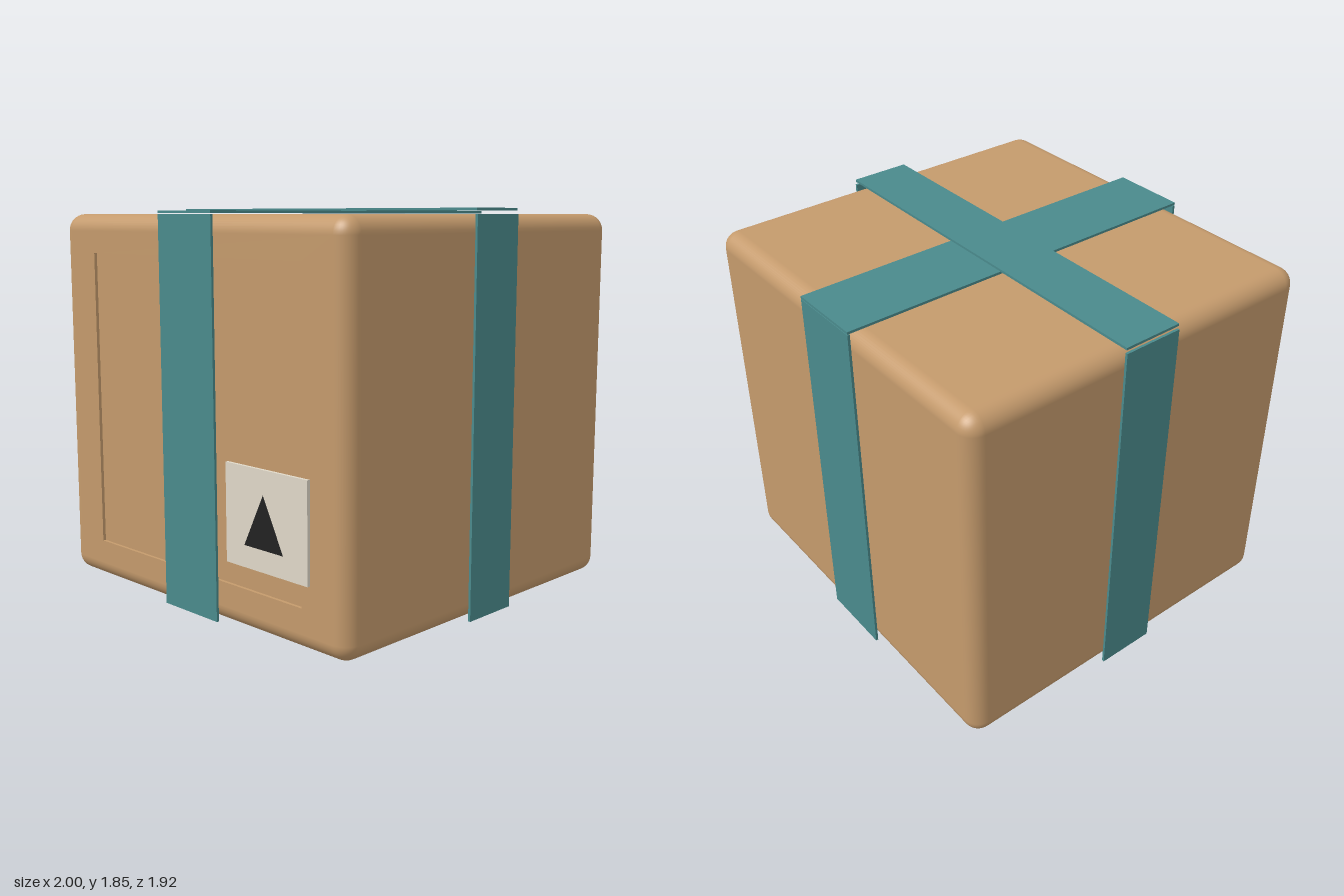
import * as THREE from 'three';
import { RoundedBoxGeometry } from 'three/addons/geometries/RoundedBoxGeometry.js';

const W = 1.966, H = 1.82, D = 1.867, R = 0.08;
const CZ = -0.0105;          // the label stands proud, so the box sits slightly back
const RECESS = 0.015;

const cardboard = new THREE.MeshStandardMaterial({ color: 0xc49a6c });
const teal = new THREE.MeshStandardMaterial({ color: 0x4a8a8c });
const paper = new THREE.MeshStandardMaterial({ color: 0xe0d8c8 });
const ink = new THREE.MeshStandardMaterial({ color: 0x222222, side: THREE.DoubleSide });

function rect(path, x0, y0, x1, y1) {
  path.moveTo(x0, y0);
  path.lineTo(x1, y0);
  path.lineTo(x1, y1);
  path.lineTo(x0, y1);
  path.closePath();
  return path;
}

export function createModel() {
  const model = new THREE.Group();
  model.name = 'parcel';

  function add(name, geometry, material, x, y, z, parent = model) {
    const mesh = new THREE.Mesh(geometry, material);
    mesh.name = name;
    mesh.position.set(x, y, z);
    parent.add(mesh);
    return mesh;
  }

  // Rounded carton: its flat front face is pushed in to form the recess floor
  const carton = new RoundedBoxGeometry(W, H, D, 5, R);
  const p = carton.attributes.position;
  for (let i = 0; i < p.count; i += 3) {
    const corners = [i, i + 1, i + 2];
    if (corners.every((k) => p.getZ(k) > D / 2 - 1e-4)) {
      corners.forEach((k) => p.setZ(k, D / 2 - RECESS));
    }
  }
  add('carton', carton, cardboard, 0, H / 2, CZ);

  // Front face around the recessed square panel
  const face = rect(new THREE.Shape(), -W / 2 + R, R, W / 2 - R, H - R);
  face.holes.push(rect(new THREE.Path(), -0.72, 0.193, 0.72, 1.633));
  const frame = new THREE.ExtrudeGeometry(face, { depth: RECESS, bevelEnabled: false });
  add('frontFrame', frame, cardboard, 0, 0, CZ + D / 2 - RECESS);

  // Crossed straps: two top bands and four hanging bands
  const straps = new THREE.Group();
  straps.name = 'straps';
  model.add(straps);
  const T = 0.012, wideZ = 0.37, wideX = 0.295;
  const topZ = new THREE.BoxGeometry(wideZ, T, 1.898);
  const topX = new THREE.BoxGeometry(1.99, T, wideX);
  add('lengthwiseTopStrap', topZ, teal, 0, 1.83, CZ, straps);
  add('crosswiseTopStrap', topX, teal, 0, 1.841, CZ, straps);
  for (const s of [1, -1]) {
    add(s > 0 ? 'frontStrap' : 'backStrap', new THREE.BoxGeometry(wideZ, H, T), teal,
      0, H / 2, CZ + s * 0.943, straps);
    add(s > 0 ? 'leftStrap' : 'rightStrap', new THREE.BoxGeometry(T, H, wideX), teal,
      s * 0.994, H / 2, CZ, straps);
  }

  // Paper label with a triangle mark
  add('label', new THREE.BoxGeometry(0.51, 0.45, 0.015), paper, 0.527, 0.53, 0.94);
  const triangle = new THREE.Shape();
  triangle.moveTo(-0.122, -0.12);
  triangle.lineTo(0.122, -0.12);
  triangle.lineTo(0, 0.12);
  triangle.closePath();
  add('labelTriangle', new THREE.ShapeGeometry(triangle), ink, 0.527, 0.53, 0.96);

  return model;
}
